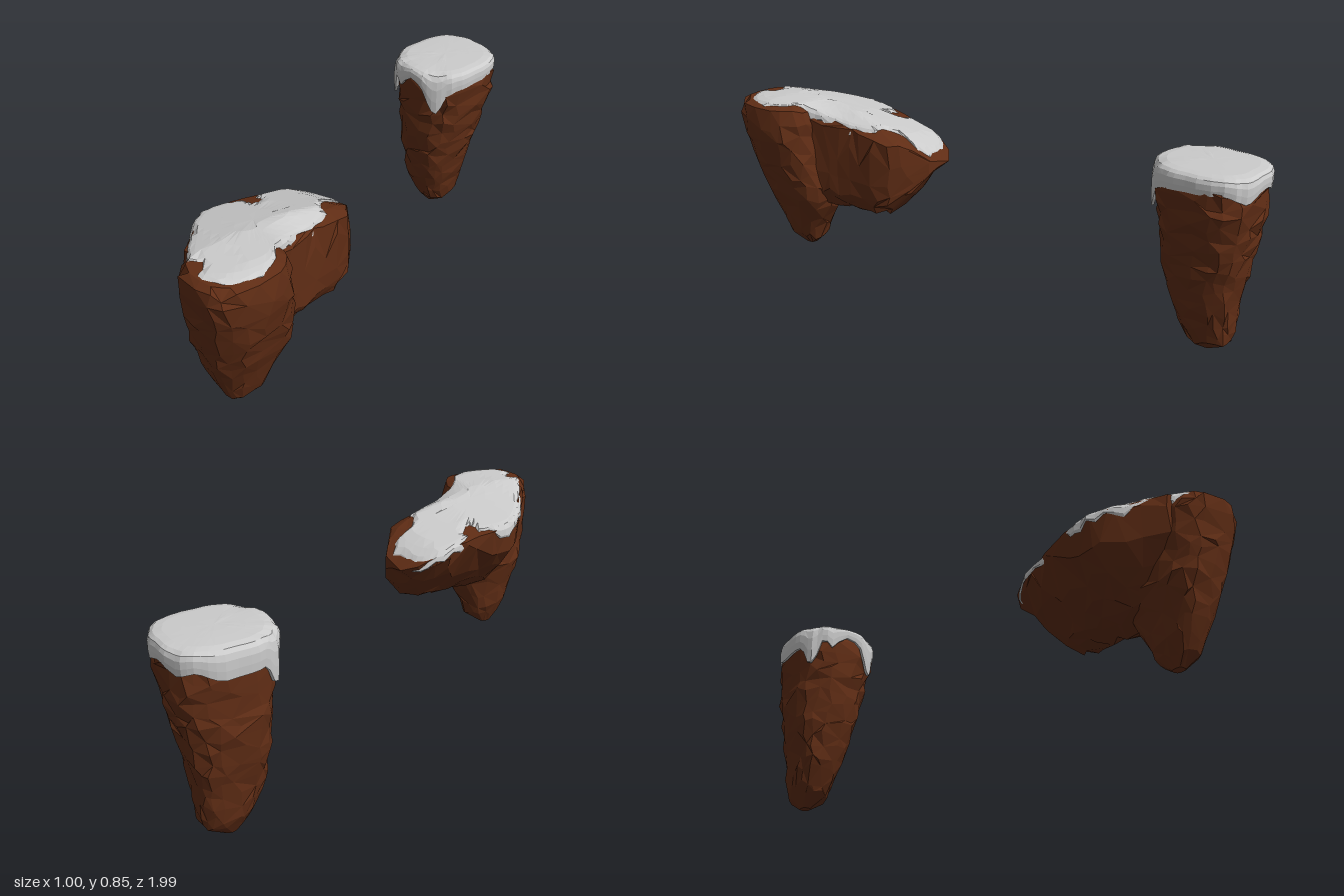
import * as THREE from 'three';

const rock = new THREE.MeshStandardMaterial({ color: 0x602d15, flatShading: true });
const snow = new THREE.MeshStandardMaterial({ color: 0xcccccc, flatShading: true, side: THREE.DoubleSide });

// Small seeded random generator, 0..1
function seeded(seed) {
  let s = seed;
  return () => {
    s = (s * 16807) % 2147483647;
    return s / 2147483647;
  };
}

// Linear lookup in rows whose first entry is the key
function sample(rows, t) {
  let i = 0;
  while (i < rows.length - 2 && rows[i + 1][0] < t) i++;
  const a = rows[i], b = rows[i + 1];
  const k = THREE.MathUtils.clamp((t - a[0]) / (b[0] - a[0]), 0, 1);
  return a.map((v, j) => v + (b[j] - v) * k);
}

// Skin a list of rings and close both ends (openStart leaves the first open)
function skin(rings, openStart = false) {
  const n = rings[0].length;
  const pts = rings.flat();
  const index = [];
  for (let i = 0; i < rings.length - 1; i++) {
    for (let j = 0; j < n; j++) {
      const a = i * n + j, b = i * n + (j + 1) % n;
      if ((i + j) % 2) index.push(a, a + n, b, b, a + n, b + n);
      else index.push(a, b + n, b, a, a + n, b + n);
    }
  }
  const cap = (ring, start, flip) => {
    const c = new THREE.Vector3();
    ring.forEach(p => c.addScaledVector(p, 1 / n));
    pts.push(c);
    for (let j = 0; j < n; j++) {
      const a = start + j, b = start + (j + 1) % n;
      index.push(pts.length - 1, flip ? b : a, flip ? a : b);
    }
  };
  if (!openStart) cap(rings[0], 0, false);
  cap(rings[rings.length - 1], (rings.length - 1) * n, true);
  const geo = new THREE.BufferGeometry().setFromPoints(pts);
  geo.setIndex(index);
  geo.computeVertexNormals();
  return geo;
}

const soft = (v, p) => Math.sign(v) * Math.abs(v) ** p;

// Craggy rock from sections [t, uMin, uMax, vMin, vMax]; place maps to space
function crag(sections, count, sides, seed, rough, place) {
  const rand = seeded(seed);
  const t0 = sections[0][0], t1 = sections[sections.length - 1][0];
  const rings = [];
  for (let i = 0; i <= count; i++) {
    const t = t0 + (t1 - t0) * i / count;
    const ring = [];
    for (let j = 0; j < sides; j++) {
      const ends = i === 0 || i === count;
      const tt = ends ? t : t + (rand() - 0.5) * 0.8 * (t1 - t0) / count;
      const [, u0, u1, v0, v1] = sample(sections, tt);
      const a = (j + (rand() - 0.5) * 0.6) / sides * Math.PI * 2;
      const r = 1.035 - rand() * rough;
      const c = soft(Math.cos(a), 0.72) * r, s = soft(Math.sin(a), 0.72) * r;
      ring.push(place((u0 + u1) / 2 + c * (u1 - u0) / 2, tt, (v0 + v1) / 2 + s * (v1 - v0) / 2, s));
    }
    rings.push(ring);
  }
  return skin(rings);
}

function mesh(name, geo, mat) {
  const m = new THREE.Mesh(geo, mat);
  m.name = name;
  return m;
}

// Tall tapering island
function tallIsland() {
  const g = new THREE.Group();
  g.name = 'tallIsland';
  const sections = [
    [0, -0.385, -0.345, -0.82, -0.77],
    [0.035, -0.41, -0.283, -0.90, -0.735],
    [0.09, -0.433, -0.272, -0.908, -0.70],
    [0.18, -0.445, -0.243, -0.915, -0.66],
    [0.35, -0.475, -0.195, -0.94, -0.625],
    [0.5, -0.488, -0.165, -0.975, -0.61],
    [0.62, -0.492, -0.133, -0.992, -0.605],
    [0.72, -0.487, -0.133, -0.987, -0.605],
    [0.76, -0.45, -0.16, -0.95, -0.64],
  ];
  g.add(mesh('tallRock', crag(sections, 16, 18, 77, 0.1, (x, y, z) => new THREE.Vector3(x, y, z)), rock));

  // Domed snow cap with drips hanging down over the front corners
  const drip = [[0, 0.7], [25, 0.69], [38, 0.67], [48, 0.6], [55, 0.585], [63, 0.61], [74, 0.69], [88, 0.73],
    [97, 0.7], [103, 0.655], [110, 0.69], [120, 0.69], [128, 0.62], [136, 0.585], [144, 0.6], [153, 0.67],
    [190, 0.66], [215, 0.7], [240, 0.68], [265, 0.71], [290, 0.67], [320, 0.71], [360, 0.7]];
  const rand = seeded(5);
  const wobble = Array.from({ length: 48 }, () => 0.98 + rand() * 0.03);
  const profile = [[0, 0.95], [0, 1], [0.3, 1.015], [0.6, 1.015], [0.8, 0.985], [0.92, 0.92], [0.98, 0.78], [1, 0.5], [1.01, 0.25]];
  const rings = profile.map(([k, r]) => wobble.map((w, j) => {
    const a = j / 48 * Math.PI * 2;
    const low = sample(drip, j * 7.5)[1];
    return new THREE.Vector3(
      -0.317 + soft(Math.cos(a), 0.75) * 0.185 * r * w,
      low + (0.775 - low) * k,
      -0.79 + soft(Math.sin(a), 0.75) * 0.206 * r * w);
  }));
  g.add(mesh('tallSnowCap', skin(rings, true), snow));
  return g;
}

// Boot-shaped island: a tapering column with a lobe reaching backwards
function bootIsland() {
  const g = new THREE.Group();
  g.name = 'bootIsland';
  // Height of the top: a ridge falling to the back and to both sides
  const ridge = [[0.18, 0.69], [0.24, 0.735], [0.32, 0.775], [0.5, 0.82], [0.7, 0.845], [0.8, 0.852], [1, 0.843]];
  const ground = (x, z) => sample(ridge, z)[1] - 0.25 * Math.max(0, 0.25 - x) - 0.2 * Math.max(0, x - 0.41)
    - 0.45 * Math.max(0, x - 0.23) * THREE.MathUtils.clamp((0.68 - z) * 6, 0, 1);

  const column = [
    [0.19, 0.255, 0.295, 0.77, 0.82],
    [0.215, 0.243, 0.338, 0.71, 0.85],
    [0.28, 0.212, 0.362, 0.692, 0.885],
    [0.36, 0.2, 0.387, 0.65, 0.912],
    [0.42, 0.185, 0.415, 0.61, 0.935],
    [0.49, 0.16, 0.438, 0.60, 0.95],
    [0.55, 0.17, 0.46, 0.62, 0.963],
    [0.68, 0.18, 0.492, 0.63, 0.982],
    [0.77, 0.19, 0.5, 0.64, 0.99],
    [0.83, 0.205, 0.487, 0.655, 0.995],
    [0.86, 0.23, 0.46, 0.69, 0.97],
  ];
  g.add(mesh('column', crag(column, 13, 17, 31, 0.08,
    (x, y, z) => new THREE.Vector3(x, Math.min(y, ground(x, z) - 0.006), z)), rock));

  const lobe = [
    [0.185, 0.05, 0.16, 0.60, 0.69],
    [0.23, -0.01, 0.23, 0.53, 0.78],
    [0.29, -0.03, 0.285, 0.45, 0.88],
    [0.36, -0.035, 0.31, 0.42, 0.9],
    [0.48, -0.035, 0.325, 0.42, 0.92],
    [0.6, -0.038, 0.35, 0.41, 0.92],
    [0.68, -0.036, 0.38, 0.40, 0.92],
    [0.77, 0.03, 0.38, 0.41, 0.92],
    [0.83, 0.1, 0.36, 0.44, 0.92],
    [0.9, 0.17, 0.34, 0.5, 0.9],
  ];
  // Underside narrows and leans toward the column
  const placeLobe = (x, z, v, s) => {
    const [, x0, x1, y0, y1] = sample(lobe, z);
    const down = Math.max(0, s), mid = (x0 + x1) / 2;
    const px = Math.min(x1, mid + (x - mid) * (1 - 0.4 * down) + 0.1 * down);
    return new THREE.Vector3(px, Math.min(y0 + y1 - v, ground(px, z) - 0.01), z);
  };
  g.add(mesh('lobe', crag(lobe, 13, 20, 19, 0.09, placeLobe), rock));

  // Thin snow sheet with a ragged rim, sinking below the rock at bare spots [x, z, radius]
  const bare = [[0.3, 0.94, 0.04], [0.29, 0.73, 0.025], [0.02, 0.5, 0.04], [0.24, 0.34, 0.04], [0.08, 0.81, 0.03]];
  const sink = (x, z) => Math.max(0, ...bare.map(([bx, bz, r]) => 1 - Math.hypot(x - bx, z - bz) / r)) * 0.04;
  const outline = new THREE.CatmullRomCurve3([
    [0.46, 0.74], [0.475, 0.82], [0.445, 0.92], [0.37, 0.975], [0.26, 0.945], [0.16, 0.87], [0.04, 0.78],
    [-0.036, 0.68], [-0.034, 0.58], [-0.01, 0.5], [-0.034, 0.42], [-0.026, 0.27], [0.06, 0.215], [0.16, 0.21],
    [0.18, 0.31], [0.25, 0.34], [0.3, 0.42], [0.33, 0.55], [0.37, 0.66],
  ].map(([x, z]) => new THREE.Vector3(x, 0, z)), true);
  const rand = seeded(12);
  const rim = outline.getPoints(72).slice(0, 72).map(p => ({ p, w: 0.97 + rand() * 0.04, d: rand() }));
  const cx = 0.19, cz = 0.64;
  const profile = [[0.98, 0.045], [1, 0.035], [0.985, 0.014], [0.93, 0.002], [0.85, 0], [0.75, 0], [0.62, 0], [0.48, 0], [0.25, 0]];
  const rings = profile.map(([r, drop]) => rim.map(({ p, w, d }) => {
    const k = r > 0.9 ? r * w : r;
    const x = cx + (p.x - cx) * k, z = cz + (p.z - cz) * k;
    return new THREE.Vector3(x, ground(x, z) - drop * (0.4 + d) - sink(x, z), z);
  }));
  g.add(mesh('bootSnowSheet', skin(rings, true), snow));
  return g;
}

export function createModel() {
  const model = new THREE.Group();
  model.name = 'snowyFloatingRocks';
  model.add(tallIsland(), bootIsland());
  return model;
}
